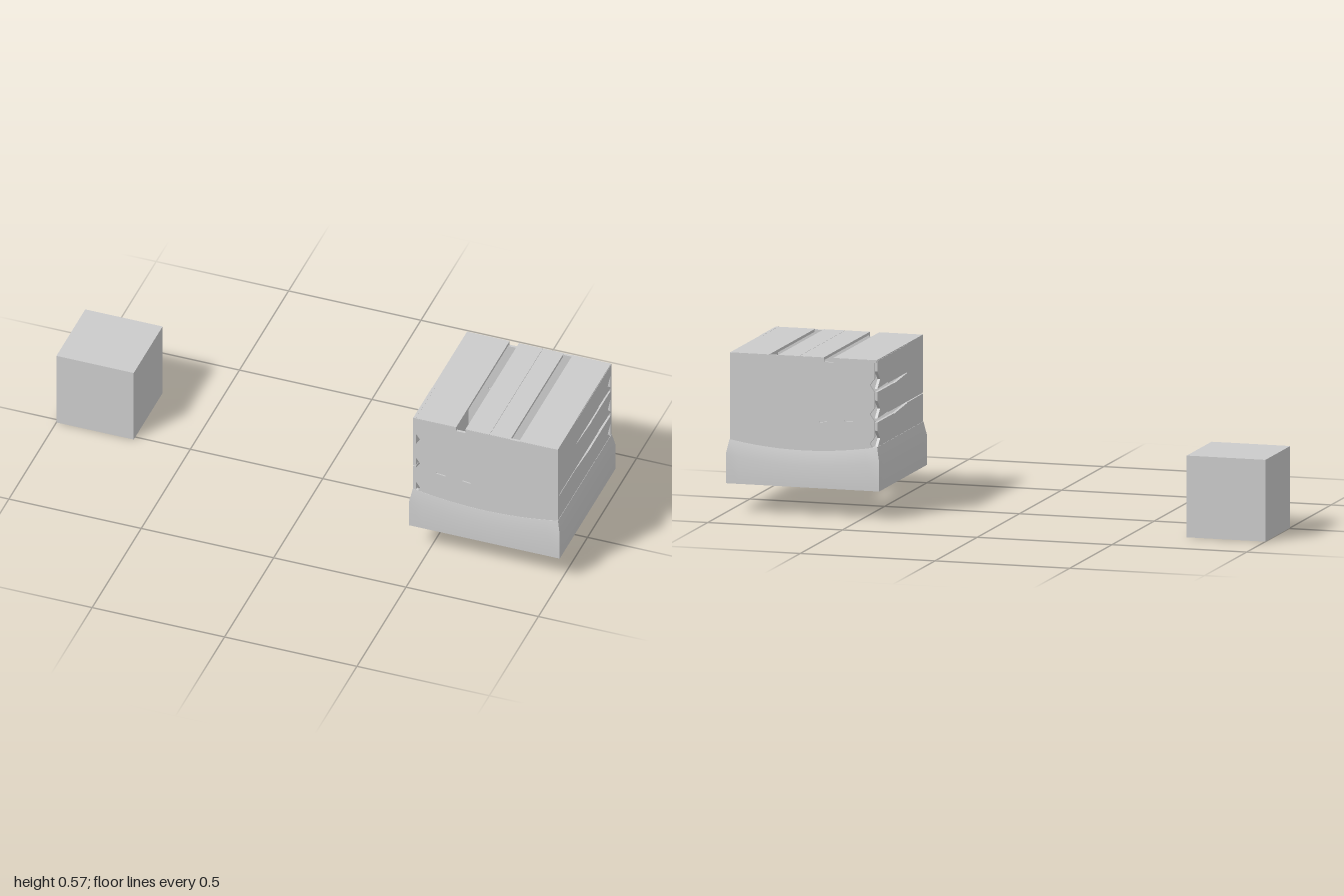
import * as THREE from 'three';
import { toCreasedNormals } from 'three/addons/utils/BufferGeometryUtils.js';

const material = new THREE.MeshStandardMaterial({ color: 0xcccccc });
const CRATE_X = 0.716; // crate centre
const WALL = 0.273; // half width of the walls
const THICK = 0.01;

function addMesh(parent, name, geometry) {
  const mesh = new THREE.Mesh(geometry, material);
  mesh.name = name;
  parent.add(mesh);
  return mesh;
}

function panel(points, holes = []) {
  const toVectors = (list) => list.map(([x, y]) => new THREE.Vector2(x, y));
  const shape = new THREE.Shape(toVectors(points));
  holes.forEach((h) => shape.holes.push(new THREE.Path(toVectors(h))));
  return new THREE.ExtrudeGeometry(shape, { depth: THICK, bevelEnabled: false });
}

// Flared skirt: a closed profile carried around a square, dipping mid-side at front and back
function skirtGeometry() {
  const profile = [[0.263, 0.105], [0.2845, 0.105], [0.2845, 0.21], [0.274, 0.262], [0.263, 0.262]];
  const n = 12, rings = n * 4, count = profile.length;
  const positions = [], index = [];
  for (let i = 0; i < rings; i++) {
    const side = Math.floor(i / n), t = (i % n) / n * 2 - 1;
    const angle = side * Math.PI / 2, c = Math.cos(angle), s = Math.sin(angle);
    const dip = side % 2 === 0 ? 0.026 * (1 - t * t) : 0;
    profile.forEach(([r, y], k) => {
      positions.push(r * t * c + r * s, y - (k > 1 ? dip : 0), r * c - r * t * s);
    });
    for (let k = 0; k < count; k++) {
      const a = i * count + k, b = i * count + (k + 1) % count;
      const d = ((i + 1) % rings) * count + k, e = ((i + 1) % rings) * count + (k + 1) % count;
      index.push(a, d, b, b, d, e);
    }
  }
  const geometry = new THREE.BufferGeometry();
  geometry.setAttribute('position', new THREE.Float32BufferAttribute(positions, 3));
  geometry.setIndex(index);
  return toCreasedNormals(geometry, 0.5);
}

// Slatted side wall in (z, y): the two upper slats join at the front, the lowest stands apart
function slattedWall(parent, name, x) {
  const group = new THREE.Group();
  group.name = name;
  parent.add(group);
  const upper = [
    [WALL, 0.575], [0.085, 0.575], [0.08, 0.571], [-0.268, 0.571],
    [-0.268, 0.533], [-0.235, 0.5], [-0.268, 0.471],
    [-0.14, 0.475], [-0.14, 0.471], [0.083, 0.471],
    [0.08, 0.468], [-0.065, 0.457], [-0.075, 0.459], [-0.268, 0.459],
    [-0.268, 0.428], [-0.235, 0.395], [-0.268, 0.364],
    [-0.14, 0.369], [-0.14, 0.366], [WALL, 0.366],
  ];
  const lower = [
    [WALL, 0.363], [0.083, 0.362], [0.08, 0.36], [-0.065, 0.348], [-0.075, 0.35], [-0.268, 0.35],
    [-0.268, 0.32], [-0.235, 0.288], [-0.264, 0.26], [-0.264, 0.24], [WALL, 0.24],
  ];
  [['upperSlats', upper], ['lowerSlat', lower]].forEach(([part, points]) => {
    const geometry = panel(points);
    geometry.rotateY(-Math.PI / 2); // shape x becomes z, depth runs to -x
    geometry.translate(x + THICK, 0, 0);
    addMesh(group, part, geometry);
  });
}

// End wall in (x, y) with a notched edge, a slot in the top and thin cracks
function endWall(parent, name, z) {
  const points = [[-0.264, 0.225], [WALL, 0.225], [WALL, 0.573],
    [-0.076, 0.573], [-0.076, 0.558], [-0.111, 0.558], [-0.111, 0.573], [-0.264, 0.573]];
  [0.483, 0.378, 0.272].forEach((y) => {
    points.push([-0.264, y + 0.025], [-0.246, y], [-0.264, y - 0.025]);
  });
  const crack = (x, y, w) => [[x, y], [x + w, y - 0.004], [x + w, y], [x, y + 0.004]];
  const holes = [crack(-0.187, 0.351, 0.035), crack(-0.087, 0.343, 0.03)];
  addMesh(parent, name, panel(points, holes)).position.z = z;
}

export function createModel() {
  const model = new THREE.Group();
  model.name = 'crateAndBlock';

  // Plain block
  addMesh(model, 'block', new THREE.BoxGeometry(0.292, 0.294, 0.294)).position.set(-0.854, 0.147, -0.131);

  // Crate, open underneath
  const crate = new THREE.Group();
  crate.name = 'crate';
  crate.position.x = CRATE_X;
  model.add(crate);
  addMesh(crate, 'skirt', skirtGeometry());
  slattedWall(crate, 'leftWall', WALL - THICK);
  slattedWall(crate, 'rightWall', -WALL);
  endWall(crate, 'frontWall', WALL - THICK);
  endWall(crate, 'backWall', -WALL);

  // Lid boards with two open slots and a fine seam
  [[-0.272, -0.111], [-0.076, 0.0145], [0.0155, 0.094], [0.127, 0.272]].forEach(([a, b], i) => {
    const board = addMesh(crate, `lidBoard${i + 1}`, new THREE.BoxGeometry(b - a, THICK, 0.545));
    board.position.set((a + b) / 2, 0.5695, 0);
  });
  return model;
}
